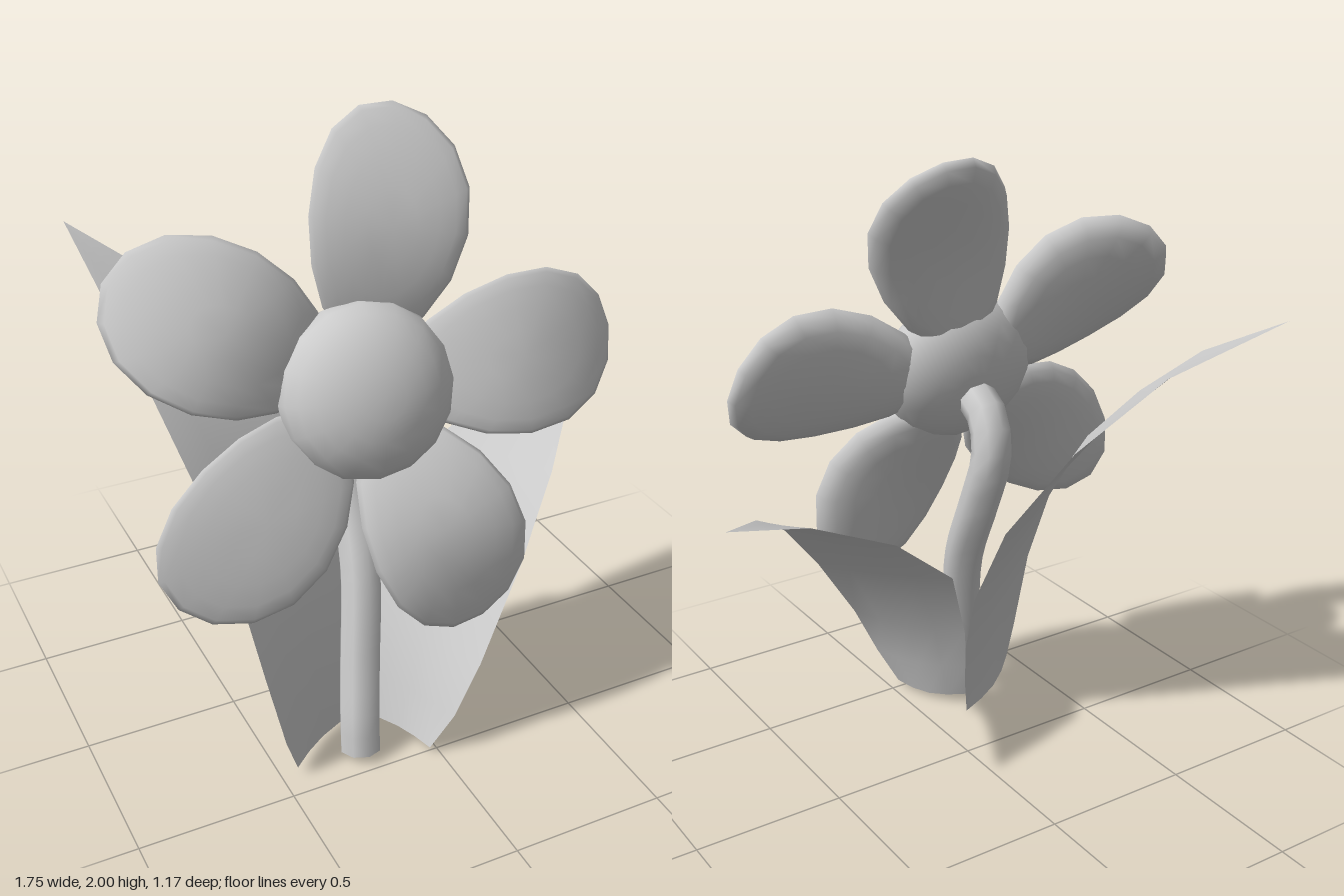
import * as THREE from 'three';
import { mergeVertices } from 'three/addons/utils/BufferGeometryUtils.js';

const V = (p) => new THREE.Vector3(...p);

// Petal lying along +x: a squashed sphere, nearly flat in front, full behind, arched along its length
function petalGeometry() {
  let g = new THREE.SphereGeometry(1, 16, 10).rotateX(Math.PI / 2);
  g.deleteAttribute('uv');
  g.deleteAttribute('normal');
  g = mergeVertices(g, 1e-4);
  const p = g.attributes.position;
  for (let i = 0; i < p.count; i++) {
    const u = p.getX(i), v = p.getY(i), w = p.getZ(i);
    const r = 0.47 + 0.35 * u;
    const arch = 0.04 - 0.8 * Math.pow(r - 0.47, 2);
    const puff = w > 0 ? 0.03 * w : -0.1 * Math.pow(-w, 0.85);
    p.setXYZ(i, r, v * 0.24 * (1 + 0.13 * u), puff + arch);
  }
  g.computeVertexNormals();
  return g;
}

// Thin leaf lofted between two edges, cupped along its middle
function leafGeometry(edgeA, edgeB, tip, bulge) {
  const n = 4, pos = [], idx = [];
  const out = V(bulge);
  edgeA.forEach((a, i) => {
    const A = V(a), B = V(edgeB[i]);
    const cup = 1 - i / edgeA.length;
    for (let j = 0; j <= n; j++) {
      const t = j / n;
      const q = A.clone().lerp(B, t).addScaledVector(out, Math.sin(Math.PI * t) * cup);
      pos.push(q.x, q.y, q.z);
    }
  });
  for (let j = 0; j <= n; j++) pos.push(...tip);
  for (let i = 0; i < edgeA.length; i++) {
    for (let j = 0; j < n; j++) {
      const a = i * (n + 1) + j, b = a + n + 1;
      idx.push(a, a + 1, b + 1);
      if (i < edgeA.length - 1) idx.push(a, b + 1, b);
    }
  }
  const g = new THREE.BufferGeometry();
  g.setAttribute('position', new THREE.Float32BufferAttribute(pos, 3));
  g.setIndex(idx);
  g.computeVertexNormals();
  return g;
}

export function createModel() {
  const model = new THREE.Group();
  model.name = 'flower';
  const grey = new THREE.MeshStandardMaterial({ color: 0xcccccc });
  const thin = new THREE.MeshStandardMaterial({ color: 0xcccccc, side: THREE.DoubleSide });
  const add = (parent, name, geometry, material = grey) => {
    const m = new THREE.Mesh(geometry, material);
    m.name = name;
    parent.add(m);
    return m;
  };

  // Flower head, tipped upward
  const head = new THREE.Group();
  head.name = 'flowerHead';
  head.position.set(-0.17, 1.26, 0.33);
  head.rotation.set(-0.31, -0.1, 0, 'YXZ');
  model.add(head);

  add(head, 'flowerCentre',
    new THREE.SphereGeometry(1, 16, 12).rotateX(Math.PI / 2).scale(0.265, 0.265, 0.16));

  const petal = petalGeometry();
  [[76.5, 1], [4, 1], [-67.5, 1.01], [-138, 1], [150, 0.98]].forEach(([deg, length], i) => {
    const m = add(head, 'petal' + (i + 1), petal);
    m.rotation.z = THREE.MathUtils.degToRad(deg);
    m.scale.x = length;
  });

  // Stem, hooking forward into the back of the head
  const path = new THREE.CatmullRomCurve3([
    [-0.23, 0.025, 0.415], [-0.225, 0.12, 0.4], [-0.2, 0.3, 0.35], [-0.155, 0.6, 0.26],
    [-0.14, 0.85, 0.14], [-0.145, 1.03, 0.08], [-0.16, 1.15, 0.13], [-0.17, 1.21, 0.26],
  ].map(V));
  add(model, 'stem', new THREE.TubeGeometry(path, 20, 0.066, 8), thin);

  // Leaf leaning to the left
  add(model, 'leftLeaf', leafGeometry(
    [[-0.03, 0.02, 0.51], [0.035, 0.15, 0.545], [0.12, 0.33, 0.55], [0.3, 0.6, 0.47],
      [0.48, 0.82, 0.34], [0.67, 0.98, 0.14]],
    [[-0.17, 0.04, 0.26], [-0.14, 0.18, 0.22], [-0.1, 0.35, 0.17], [0.0, 0.62, 0.09],
      [0.26, 0.84, 0.01], [0.58, 1.0, -0.04]],
    [0.87, 1.08, -0.09], [0.025, -0.01, -0.015]), thin);

  // Taller leaf leaning back and to the right
  add(model, 'rightLeaf', leafGeometry(
    [[-0.45, 0.03, 0.42], [-0.49, 0.15, 0.43], [-0.55, 0.42, 0.43], [-0.59, 0.68, 0.36],
      [-0.64, 0.95, 0.21], [-0.69, 1.17, 0.0], [-0.73, 1.37, -0.25]],
    [[-0.14, 0.0, 0.22], [-0.12, 0.13, 0.2], [-0.09, 0.3, 0.15], [-0.08, 0.52, 0.08],
      [-0.12, 0.8, -0.04], [-0.27, 1.1, -0.2], [-0.48, 1.36, -0.38]],
    [-0.76, 1.55, -0.59], [-0.015, -0.005, -0.02]), thin);

  return model;
}
